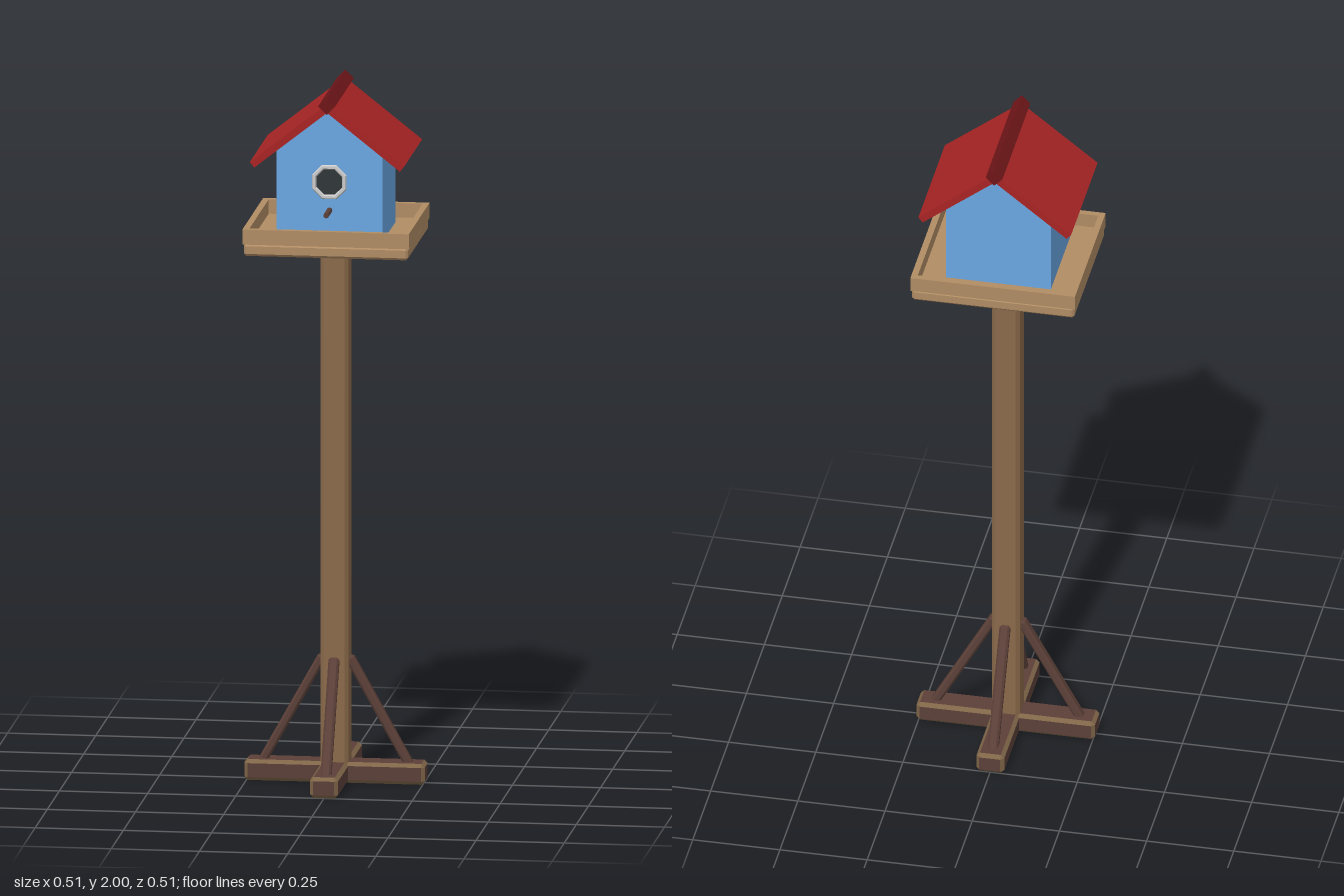
import * as THREE from 'three';
import { ConvexGeometry } from 'three/addons/geometries/ConvexGeometry.js';

const mat = (color) => new THREE.MeshStandardMaterial({ color, flatShading: true });
const M = {
  post: mat(0x8a6a4a), tray: mat(0xb08c64), dark: mat(0x5c4038), edge: mat(0x806648),
  wall: mat(0x6aa6e2), roof: mat(0xa82424), ridge: mat(0x6e1518),
  ring: mat(0xc8c8c8), hole: mat(0x30363a),
};

function add(parent, name, geometry, material, x = 0, y = 0, z = 0) {
  const mesh = new THREE.Mesh(geometry, material);
  mesh.name = name;
  mesh.position.set(x, y, z);
  parent.add(mesh);
  return mesh;
}

// Box with chamfered edges; the chamfers may take a second material.
function chamferBox(name, w, h, d, c, faceMat, edgeMat = faceMat) {
  const half = [w / 2, h / 2, d / 2];
  const pts = [];
  for (const sx of [-1, 1]) for (const sy of [-1, 1]) for (const sz of [-1, 1])
    for (let axis = 0; axis < 3; axis++) {
      const p = half.map((v, i) => (i === axis ? v : v - c));
      pts.push(new THREE.Vector3(p[0] * sx, p[1] * sy, p[2] * sz));
    }
  const hull = new ConvexGeometry(pts);
  const pos = hull.attributes.position, nor = hull.attributes.normal;
  const lists = [[], []];
  for (let i = 0; i < pos.count; i++) {
    const flat = Math.max(Math.abs(nor.getX(i)), Math.abs(nor.getY(i)), Math.abs(nor.getZ(i))) > 0.99;
    lists[flat ? 0 : 1].push(pos.getX(i), pos.getY(i), pos.getZ(i));
  }
  const group = new THREE.Group();
  group.name = name;
  lists.forEach((list, i) => {
    const g = new THREE.BufferGeometry();
    g.setAttribute('position', new THREE.Float32BufferAttribute(list, 3));
    g.computeVertexNormals();
    add(group, name + (i ? 'Chamfers' : 'Faces'), g, i ? edgeMat : faceMat);
  });
  return group;
}

function createStand() {
  const stand = new THREE.Group();
  stand.name = 'stand';

  // Crossed feet
  for (const turn of [0, 1]) {
    const foot = chamferBox('footBeam', 0.512, 0.06, 0.08, 0.01, M.dark, M.edge);
    foot.position.y = 0.03;
    foot.rotation.y = turn * Math.PI / 2;
    stand.add(foot);
  }

  // Post
  const post = chamferBox('post', 0.08, 1.51, 0.08, 0.01, M.post);
  post.position.y = 0.785;
  stand.add(post);

  // Four diagonal braces
  const top = new THREE.Vector2(0.038, 0.358), bottom = new THREE.Vector2(0.212, 0.045);
  const length = top.distanceTo(bottom);
  for (let i = 0; i < 4; i++) {
    const pivot = new THREE.Group();
    pivot.name = 'bracePivot';
    const brace = chamferBox('brace', 0.025, length, 0.03, 0.006, M.dark);
    brace.position.set((top.x + bottom.x) / 2, (top.y + bottom.y) / 2, 0);
    brace.rotation.z = Math.atan2(bottom.x - top.x, top.y - bottom.y);
    pivot.rotation.y = i * Math.PI / 2;
    pivot.add(brace);
    stand.add(pivot);
  }
  return stand;
}

function createTray() {
  const tray = new THREE.Group();
  tray.name = 'tray';
  const floor = chamferBox('trayFloor', 0.466, 0.036, 0.426, 0.007, M.tray);
  floor.position.y = 1.561;
  tray.add(floor);

  // Raised rim
  for (const s of [-1, 1]) {
    add(tray, 'sideRail', new THREE.BoxGeometry(0.018, 0.043, 0.43), M.tray, s * 0.227, 1.5985, 0);
    add(tray, 'endRail', new THREE.BoxGeometry(0.436, 0.043, 0.018), M.tray, 0, 1.5985, s * 0.206);
  }
  return tray;
}

function createHouse() {
  const house = new THREE.Group();
  house.name = 'house';

  // Gabled body
  const gable = new THREE.Shape([
    [-0.15, 1.575], [0.15, 1.575], [0.15, 1.84], [0, 1.958], [-0.15, 1.84],
  ].map(([x, y]) => new THREE.Vector2(x, y)));
  add(house, 'walls', new THREE.ExtrudeGeometry(gable, { depth: 0.264, bevelEnabled: false }),
    M.wall, 0, 0, -0.132);

  // Roof panels
  const run = 0.219, drop = 0.173, thick = 0.02;
  const slope = Math.atan2(drop, run);
  for (const s of [-1, 1]) {
    const panel = add(house, 'roofPanel',
      new THREE.BoxGeometry(Math.hypot(run, drop), thick, 0.37), M.roof,
      s * (run / 2 - Math.sin(slope) * thick / 2),
      1.981 - drop / 2 - Math.cos(slope) * thick / 2, 0);
    panel.rotation.z = -s * slope;
  }

  // Ridge cap
  const ridge = add(house, 'ridgeCap', new THREE.BoxGeometry(0.034, 0.034, 0.39), M.ridge, 0, 1.976, 0);
  ridge.rotation.z = Math.PI / 4;

  // Entrance hole with its ring, and the perch
  const ring = add(house, 'entranceRing', new THREE.TorusGeometry(0.046, 0.007, 6, 8), M.ring, 0, 1.747, 0.137);
  ring.rotation.z = Math.PI / 8;
  const hole = add(house, 'entranceHole', new THREE.CylinderGeometry(0.046, 0.046, 0.012, 8), M.hole, 0, 1.747, 0.13);
  hole.rotation.set(Math.PI / 2, Math.PI / 8, 0);
  const perch = add(house, 'perch', new THREE.CylinderGeometry(0.008, 0.008, 0.08, 8), M.dark, 0, 1.665, 0.166);
  perch.rotation.x = Math.PI / 2;
  return house;
}

export function createModel() {
  const model = new THREE.Group();
  model.name = 'birdhouse';
  model.add(createStand(), createTray(), createHouse());
  return model;
}
